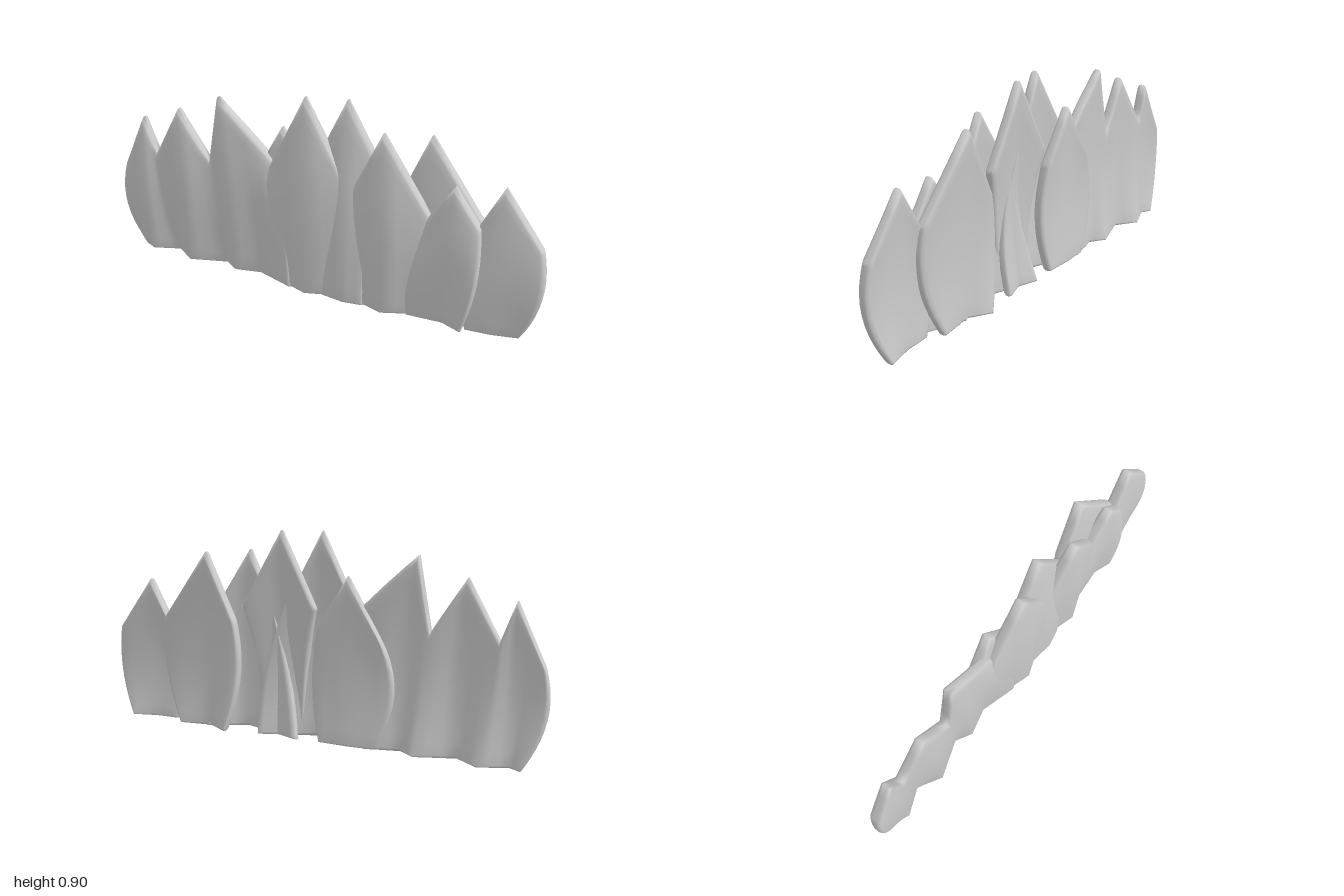
import * as THREE from 'three';

const THICKNESS = 0.05;
const BELLY = 0.018;

// Column: [xBase, xMid, xTop, yTop, zBase, zTop]; the columns run from right to left (-x to +x).
function columnPoint(c, v) {
  const [xb, xm, xt, yt, zb, zt] = c;
  const m = 0.6;
  const x = xb * (v - m) * (v - 1) / m + xm * v * (v - 1) / (m * (m - 1)) + xt * v * (v - m) / (1 - m);
  const z = zb + (zt - zb) * v + BELLY * Math.sin(Math.PI * v);
  return new THREE.Vector3(x, v * yt, z);
}

// Share of the full thickness on the outline and on the two rings inside it.
const rimShare = (i, n) => [0.4, 0.8][Math.min(i, n - 1 - i)] ?? 1;

// Folded slab with a rounded rim, lofted through its columns.
function leafSlab(columns) {
  const spans = columns.length - 1;
  const us = [0, 0.03, 0.1];
  for (let s = 0; s < spans; s++) {
    if (s > 0) us.push(s);
    us.push(s + 0.33, s + 0.67);
  }
  us.push(spans - 0.1, spans - 0.03, spans);
  const vs = [0, 0.006, 0.02, 0.1, 0.2, 0.3, 0.4, 0.5, 0.6, 0.7, 0.8, 0.9, 0.965, 0.988, 1];
  const nu = us.length, nv = vs.length;

  const pos = [], idx = [];
  for (const side of [1, -1]) {
    vs.forEach((v, j) => us.forEach((u, i) => {
      const k = Math.min(Math.floor(u), spans - 1);
      const p = columnPoint(columns[k], v).lerp(columnPoint(columns[k + 1], v), u - k);
      const share = Math.min(rimShare(i, nu), rimShare(j, nv));
      pos.push(p.x, p.y, p.z + side * THICKNESS / 2 * share);
    }));
  }
  const back = nu * nv;
  const quad = (a, b, c, d) => idx.push(a, b, c, a, c, d);
  // front and back faces
  for (let j = 0; j < nv - 1; j++) {
    for (let i = 0; i < nu - 1; i++) {
      const a = j * nu + i, b = a + 1, c = b + nu, d = a + nu;
      quad(a, b, c, d);
      quad(back + b, back + a, back + d, back + c);
    }
  }
  // rim walls, counter-clockwise around the outline
  const loop = [];
  for (let i = 0; i < nu - 1; i++) loop.push(i);
  for (let j = 0; j < nv - 1; j++) loop.push(j * nu + nu - 1);
  for (let i = nu - 1; i > 0; i--) loop.push((nv - 1) * nu + i);
  for (let j = nv - 1; j > 0; j--) loop.push(j * nu);
  loop.forEach((a, n) => {
    const b = loop[(n + 1) % loop.length];
    quad(a, back + a, back + b, b);
  });

  const g = new THREE.BufferGeometry();
  g.setAttribute('position', new THREE.Float32BufferAttribute(pos, 3));
  g.setIndex(idx);
  g.computeVertexNormals();
  return g;
}

export function createModel() {
  const group = new THREE.Group();
  group.name = 'grassTuft';
  const material = new THREE.MeshStandardMaterial({ color: 0xcccccc });

  const parts = {
    // wide clump with three joined tips
    tripleBlade: [
      [-0.91, -1.0, -0.98, 0.42, -0.005, 0.02],
      [-0.86, -0.86, -0.86, 0.675, 0.02, 0.025],
      [-0.74, -0.78, -0.8, 0.51, -0.03, 0.02],
      [-0.64, -0.64, -0.66, 0.75, 0.035, 0.035],
      [-0.47, -0.5, -0.515, 0.52, -0.025, 0.02],
      [-0.4, -0.42, -0.46, 0.83, 0.02, 0.02],
      [-0.28, -0.29, -0.33, 0.71, -0.01, 0.015],
      [-0.1, -0.13, -0.19, 0.57, 0.045, 0.0],
    ],
    // single blades: right edge, central fold with the tip, left edge
    rearBlade: [
      [-0.29, -0.37, -0.31, 0.48, -0.01, -0.015],
      [-0.17, -0.17, -0.17, 0.73, -0.022, -0.02],
      [-0.04, 0.0, -0.03, 0.5, -0.02, -0.015],
    ],
    tallFrontBlade: [
      [-0.26, -0.26, -0.21, 0.56, -0.02, 0.015],
      [-0.02, -0.02, -0.03, 0.905, 0.062, 0.038],
      [0.25, 0.22, 0.14, 0.57, -0.035, 0.02],
    ],
    tallMiddleBlade: [
      [0.05, 0.03, -0.02, 0.58, 0.035, -0.01],
      [0.16, 0.15, 0.14, 0.905, 0.052, -0.01],
      [0.25, 0.28, 0.33, 0.57, 0.035, -0.015],
    ],
    slantedBlade: [
      [0.06, 0.13, 0.19, 0.55, -0.035, 0.02],
      [0.34, 0.34, 0.32, 0.81, 0.055, 0.042],
      [0.52, 0.53, 0.52, 0.48, -0.025, 0.01],
    ],
    tallRearBlade: [
      [0.4, 0.34, 0.36, 0.5, -0.07, -0.04],
      [0.5, 0.49, 0.49, 0.8, -0.015, -0.052],
      [0.65, 0.74, 0.73, 0.48, -0.04, -0.03],
    ],
    shortFrontBlade: [
      [0.44, 0.44, 0.51, 0.47, 0.015, 0.005],
      [0.6, 0.61, 0.62, 0.635, 0.005, 0.022],
      [0.69, 0.745, 0.735, 0.47, 0.04, 0.015],
    ],
    endBlade: [
      [0.7, 0.66, 0.69, 0.42, 0.01, -0.01],
      [0.81, 0.81, 0.81, 0.655, 0.0, -0.012],
      [0.92, 1.0, 0.98, 0.42, -0.03, -0.012],
    ],
  };
  for (const [name, columns] of Object.entries(parts)) {
    const mesh = new THREE.Mesh(leafSlab(columns), material);
    mesh.name = name;
    group.add(mesh);
  }
  return group;
}
